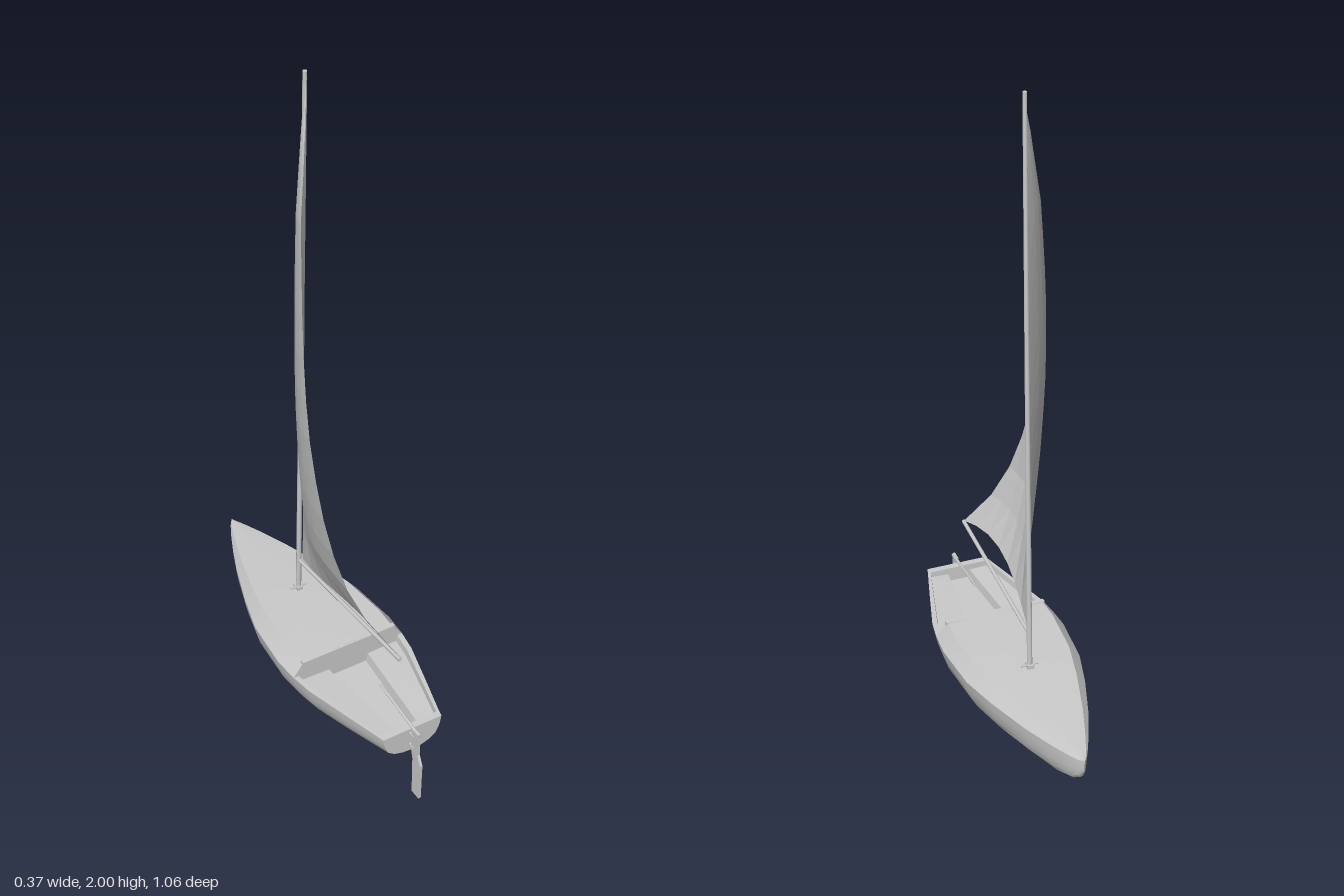
import * as THREE from 'three';
import { toCreasedNormals } from 'three/addons/utils/BufferGeometryUtils.js';

const grey = new THREE.MeshStandardMaterial({ color: 0xcccccc, side: THREE.DoubleSide });
const facet = new THREE.MeshStandardMaterial({ color: 0xcccccc, side: THREE.DoubleSide, flatShading: true });

// Surface through rows of [x, y, z] points
function loft(rows) {
  const n = rows[0].length, index = [];
  for (let i = 0; i < rows.length - 1; i++) {
    for (let j = 0; j < n - 1; j++) {
      const a = i * n + j, b = a + 1, d = a + n, c = d + 1;
      index.push(a, c, b, a, d, c);
    }
  }
  const g = new THREE.BufferGeometry();
  g.setAttribute('position', new THREE.Float32BufferAttribute(rows.flat(2), 3));
  g.setIndex(index);
  g.computeVertexNormals();
  return g;
}

// Linear lookup in a table of [key, value...] rows
function lookup(table, key, col = 1) {
  let i = 0;
  while (i < table.length - 2 && key > table[i + 1][0]) i++;
  const a = table[i], b = table[i + 1];
  return THREE.MathUtils.lerp(a[col], b[col], (key - a[0]) / (b[0] - a[0]));
}

function add(group, name, geometry, material = grey) {
  const mesh = new THREE.Mesh(geometry, material);
  mesh.name = name;
  group.add(mesh);
  return mesh;
}

// Round bar between two points
function bar(group, name, from, to, r0, r1 = r0, sides = 8) {
  const a = new THREE.Vector3(...from), b = new THREE.Vector3(...to);
  const mesh = add(group, name, new THREE.CylinderGeometry(r1, r0, a.distanceTo(b), sides));
  mesh.position.copy(a).lerp(b, 0.5);
  mesh.quaternion.setFromUnitVectors(new THREE.Vector3(0, 1, 0), b.sub(a).normalize());
  return mesh;
}

// Thin plate with its outline given as [z, y]
function plate(group, name, outline, thickness, x = 0) {
  const shape = new THREE.Shape(outline.map(([z, y]) => new THREE.Vector2(-z, y)));
  const g = new THREE.ExtrudeGeometry(shape, { depth: thickness, bevelEnabled: false });
  g.translate(0, 0, -thickness / 2).rotateY(Math.PI / 2);
  return add(group, name, g).position.setX(x);
}

// Hull stations: z, half width, sheer height, keel height, cabin top height
const stations = [
  [-0.53, 0, 0.3, 0.27, 0.301], [-0.51, 0.014, 0.298, 0.235, 0.302],
  [-0.475, 0.032, 0.296, 0.205, 0.304], [-0.42, 0.057, 0.293, 0.184, 0.308],
  [-0.335, 0.092, 0.29, 0.17, 0.313], [-0.2, 0.138, 0.287, 0.156, 0.321],
  [-0.085, 0.169, 0.285, 0.149, 0.325], [0.07, 0.183, 0.284, 0.149, 0.327],
  [0.145, 0.178, 0.283, 0.153, 0.327], [0.21, 0.168, 0.282, 0.159, 0.327],
  [0.338, 0.132, 0.281, 0.175, 0.327], [0.455, 0.098, 0.28, 0.195, 0.327],
  [0.475, 0.093, 0.28, 0.2, 0.327],
];
const section = [[1, 1], [0.975, 0.8], [0.92, 0.55], [0.82, 0.32], [0.6, 0.13], [0.3, 0.03], [0, 0]];

function hullRow([z, w, sheer, keel]) {
  const half = section.map(([fx, fy]) => [w * fx, keel + (sheer - keel) * fy, z]);
  return [...half, ...half.slice(0, -1).reverse().map(([x, y, zz]) => [-x, y, zz])];
}

// Half deck sections from the edge inward, mirrored into full rows
function deckRow([z, w, sheer, , top], kind) {
  const f = THREE.MathUtils.lerp(0.064, 0.034, (z - 0.145) / 0.31);
  const half = {
    cabin: [[w, sheer], [0.81 * w, top], [0.78 * w, top], [0.4 * w, top + 0.002], [0.38 * w, top + 0.002], [0, top + 0.003]],
    cockpit: [[w, sheer], [0.91 * w, sheer], [0.89 * w, 0.263], [f, 0.26], [f - 0.006, 0.235], [0, 0.235]],
    rim: [[w, sheer], [0.91 * w, sheer], [0.89 * w, sheer], [f, sheer], [f - 0.006, sheer], [0, sheer]],
  }[kind];
  return [...half.map(([x, y]) => [-x, y, z]), ...half.slice(0, -1).reverse().map(([x, y]) => [x, y, z])];
}

// Leech of the sail: height, z, x
const leech = [
  [0.48, 0.4, 0], [0.6, 0.34, -0.072], [0.7, 0.31, -0.11], [0.85, 0.272, -0.145],
  [1.01, 0.23, -0.154], [1.17, 0.19, -0.156], [1.39, 0.133, -0.135], [1.66, 0.05, -0.09],
  [1.85, -0.018, -0.036], [1.99, -0.072, 0],
];

function sailRow(v) {
  const cols = 7, row = [];
  const yLeech = THREE.MathUtils.lerp(0.48, 1.99, v), yLuff = THREE.MathUtils.lerp(0.455, 1.99, v);
  const zLuff = THREE.MathUtils.lerp(-0.106, -0.072, v);
  const zLeech = lookup(leech, yLeech, 1), xLeech = lookup(leech, yLeech, 2);
  const belly = 0.045 * Math.pow(1 - v, 0.5) * Math.min(1, 0.6 + v * 3);
  for (let j = 0; j <= cols; j++) {
    const s = j / cols, arch = Math.sin(Math.PI * s);
    row.push([
      xLeech * s - belly * arch,
      THREE.MathUtils.lerp(yLuff, yLeech, s) + 0.05 * Math.sin(Math.PI * s ** 1.3) * Math.max(0, 1 - v * 4),
      THREE.MathUtils.lerp(zLuff, zLeech, s),
    ]);
  }
  return row;
}

export function createModel() {
  const boat = new THREE.Group();
  boat.name = 'sailingDinghy';

  // Hull shell and stern
  add(boat, 'hull', toCreasedNormals(loft(stations.map(hullRow)), 0.5));
  const stern = hullRow(stations[stations.length - 1]);
  const sternShape = new THREE.Shape(stern.map(([x, y]) => new THREE.Vector2(x, y)));
  add(boat, 'transom', new THREE.ShapeGeometry(sternShape).translate(0, 0, 0.475));

  // Raised foredeck, bulkhead, cockpit with footwell, stern rim
  const deck = [
    ...stations.slice(0, 9).map((s) => deckRow(s, 'cabin')),
    ...stations.slice(8, 12).map((s) => deckRow(s, 'cockpit')),
    ...stations.slice(11).map((s) => deckRow(s, 'rim')),
  ];
  add(boat, 'deck', toCreasedNormals(loft(deck), 0.3));
  add(boat, 'cabinLip', new THREE.BoxGeometry(0.3, 0.012, 0.014)).position.set(0, 0.323, 0.143);

  // Mast, its foot and the boom
  bar(boat, 'mast', [0, 0.32, -0.131], [0, 2, -0.079], 0.008, 0.006);
  add(boat, 'mastFoot', new THREE.BoxGeometry(0.018, 0.012, 0.024)).position.set(0, 0.332, -0.131);
  bar(boat, 'mastPin', [-0.025, 0.334, -0.131], [0.025, 0.334, -0.131], 0.003);
  bar(boat, 'boom', [0, 0.437, -0.127], [0, 0.475, 0.405], 0.006);

  // Sail
  const rows = [];
  for (let i = 0; i <= 14; i++) rows.push(sailRow(i / 14));
  add(boat, 'sail', loft(rows), facet);

  // Centreboard, rudder and tiller
  plate(boat, 'centreboard', [[0.06, 0.16], [0.074, 0.005], [0.012, 0], [-0.09, 0.16]], 0.009);
  plate(boat, 'rudder', [
    [0.515, 0.29], [0.515, 0.215], [0.53, 0.185], [0.528, 0.06], [0.494, 0.06], [0.492, 0.185], [0.484, 0.215], [0.484, 0.29],
  ], 0.008, -0.005);
  bar(boat, 'tiller', [-0.003, 0.283, 0.515], [0, 0.308, 0.31], 0.005, 0.004);
  for (const y of [0.225, 0.265]) {
    add(boat, 'rudderHinge', new THREE.BoxGeometry(0.012, 0.008, 0.03)).position.set(-0.005, y, 0.483);
  }
  return boat;
}
